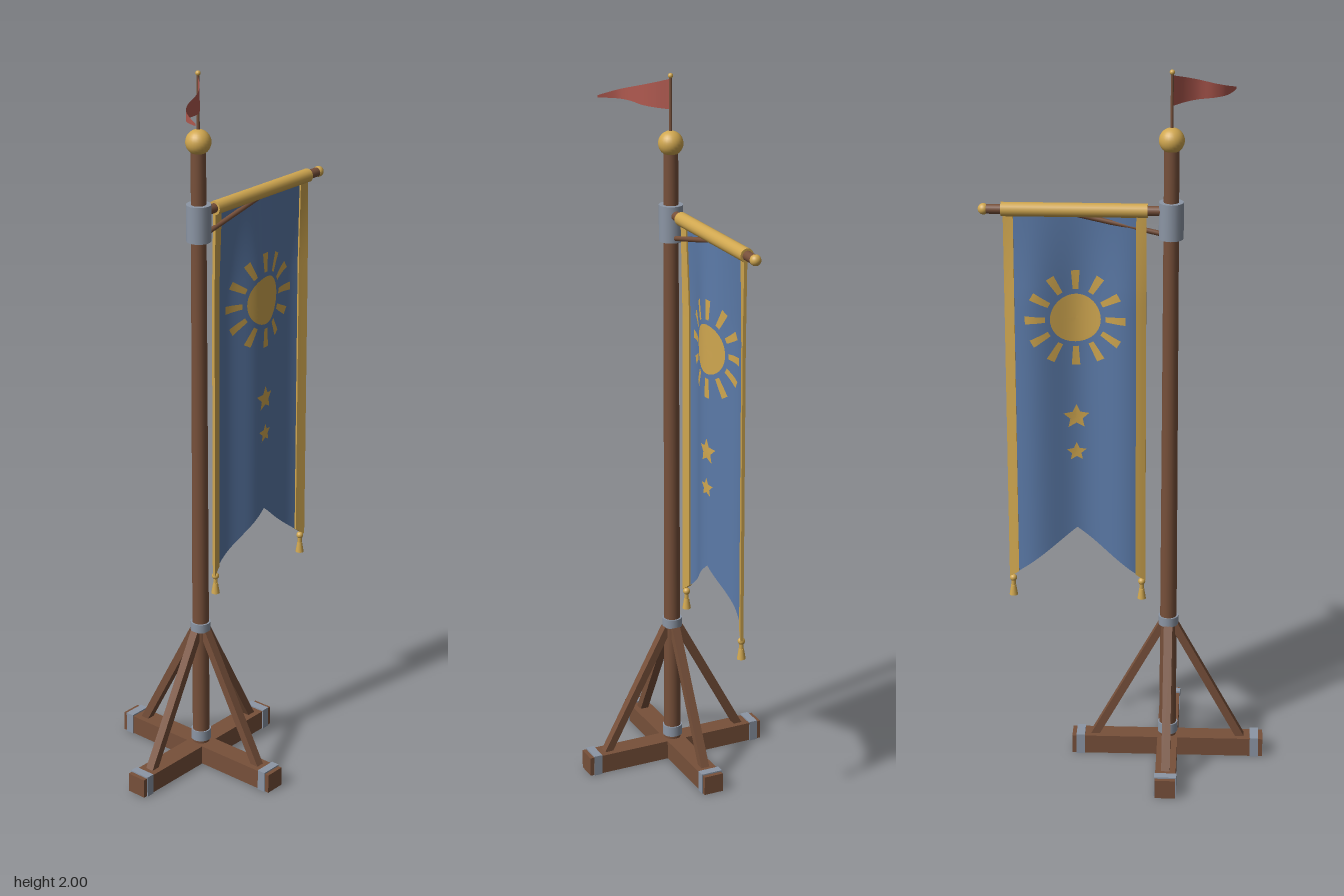
import * as THREE from 'three';

const POLE_X = -0.12;
const material = (name, color, side = THREE.FrontSide) => {
  const m = new THREE.MeshStandardMaterial({ color, side });
  m.name = name;
  return m;
};

export function createModel() {
  const wood = material('wood', 0x77503a);
  const metal = material('metal', 0x8c96a5);
  const gold = material('gold', 0xd0a750, THREE.DoubleSide);
  const blue = material('blue cloth', 0x5b7aa8, THREE.DoubleSide);
  const red = material('red cloth', 0xb0594f, THREE.DoubleSide);

  const model = new THREE.Group();
  model.name = 'bannerStand';
  const add = (name, geometry, mat, x = 0, y = 0, z = 0, parent = model) => {
    const mesh = new THREE.Mesh(geometry, mat);
    mesh.name = name;
    mesh.position.set(x, y, z);
    parent.add(mesh);
    return mesh;
  };
  const cyl = (rTop, rBottom, h, n = 20) => new THREE.CylinderGeometry(rTop, rBottom, h, n);
  const ball = (r) => new THREE.SphereGeometry(r, 24, 16);
  // Place a y-aligned mesh between two points
  const span = (mesh, a, b) => {
    mesh.position.copy(a).add(b).multiplyScalar(0.5);
    mesh.quaternion.setFromUnitVectors(new THREE.Vector3(0, 1, 0), b.clone().sub(a).normalize());
    return mesh;
  };

  // Crossed feet: four arms, each with an end strap and a diagonal brace
  for (let i = 0; i < 4; i++) {
    const arm = new THREE.Group();
    arm.name = 'footArm';
    arm.position.x = POLE_X;
    arm.rotation.y = i * Math.PI / 2;
    model.add(arm);
    add('footBeam', new THREE.BoxGeometry(0.272, 0.055, 0.057), wood, 0.136, 0.0285, 0, arm);
    add('footStrap', new THREE.BoxGeometry(0.024, 0.06, 0.062), metal, 0.248, 0.03, 0, arm);
    const a = new THREE.Vector3(0.212, 0.045, 0);
    const b = new THREE.Vector3(0.018, 0.405, 0);
    span(add('brace', new THREE.BoxGeometry(0.022, a.distanceTo(b), 0.024), wood, 0, 0, 0, arm), a, b);
  }

  // Pole with collars, finial ball and flag rod
  add('pole', cyl(0.02, 0.024, 1.75), wood, POLE_X, 0.915);
  add('lowerCollar', cyl(0.028, 0.028, 0.03), metal, POLE_X, 0.08);
  add('braceCollar', cyl(0.028, 0.028, 0.026), metal, POLE_X, 0.421);
  add('armBracket', cyl(0.033, 0.033, 0.1), metal, POLE_X, 1.595);
  add('finialBall', ball(0.034), gold, POLE_X, 1.812);
  add('flagRod', cyl(0.004, 0.004, 0.16, 10), wood, POLE_X, 1.915);
  add('rodTip', ball(0.007), gold, POLE_X, 1.993);

  // Horizontal arm, sleeve and support strut
  add('crossArm', cyl(0.013, 0.013, 0.47), wood, 0.135, 1.62).rotation.z = Math.PI / 2;
  add('bannerSleeve', cyl(0.019, 0.019, 0.388), gold, 0.136, 1.62).rotation.z = Math.PI / 2;
  add('armEndBall', ball(0.015), gold, 0.376, 1.62);
  const s0 = new THREE.Vector3(-0.1, 1.556, 0);
  const s1 = new THREE.Vector3(0.13, 1.608, 0);
  span(add('armStrut', cyl(0.007, 0.007, s0.distanceTo(s1), 10), wood), s0, s1);

  // Folds of the hanging banner, and its swallow-tailed lower edge
  const CX = 0.135, TOP = 1.615, HALF = 0.19;
  const fold = (x, y) =>
    0.015 * Math.min(1, 0.3 + (TOP - y) * 3) * Math.cos((x - 0.12) * Math.PI * 2 / 0.26);
  const bottom = (x) => 0.695 - 0.15 * Math.abs(x - CX) / HALF;
  const drape = (g) => {
    const p = g.attributes.position;
    for (let i = 0; i < p.count; i++) p.setZ(i, p.getZ(i) + fold(p.getX(i), p.getY(i)));
    g.computeVertexNormals();
    return g;
  };
  // Hang a unit-height strip from the sleeve down to the lower edge
  const hang = (g, x) => {
    const p = g.attributes.position;
    for (let i = 0; i < p.count; i++) {
      const px = p.getX(i) + x;
      p.setXY(i, px, THREE.MathUtils.lerp(bottom(px), TOP, p.getY(i) + 0.5));
    }
    return drape(g);
  };
  add('bannerCloth', hang(new THREE.PlaneGeometry(0.37, 1, 40, 30), CX), blue);
  for (const side of [-1, 1]) {
    add('bannerTrim', hang(new THREE.BoxGeometry(0.027, 1, 0.009, 3, 30, 1), CX + side * 0.1765), gold);
    const x = CX + side * 0.18;
    const z = fold(x, 0.55);
    add('tasselKnot', ball(0.01), gold, x, 0.542, z);
    add('tasselNeck', cyl(0.006, 0.006, 0.03, 12), gold, x, 0.525, z);
    add('tasselSkirt', cyl(0.007, 0.012, 0.03, 12), gold, x, 0.505, z);
  }

  // Star emblem: a disc whose alternate spokes are pulled inwards
  const star = (r) => {
    const g = new THREE.RingGeometry(0, r, 10, 4, Math.PI / 2);
    const p = g.attributes.position;
    for (let i = 0; i < p.count; i++) {
      const k = (i % 11) % 2 ? 0.48 : 1;
      p.setXY(i, p.getX(i) * k, p.getY(i) * k);
    }
    return g;
  };
  // Sun and stars on both faces of the cloth
  for (const z of [-0.0035, 0.0035]) {
    const face = z > 0 ? 'front' : 'back';
    const emblem = (name, g, y) => add(face + name, drape(g.translate(CX, y, z)), gold);
    emblem('SunDisc', new THREE.RingGeometry(0, 0.068, 40, 8), 1.315);
    for (let i = 0; i < 12; i++) {
      const ray = new THREE.PlaneGeometry(0.054, 0.019, 8, 3);
      const p = ray.attributes.position;
      for (let j = 0; j < p.count; j++) p.setY(j, p.getY(j) * (1 + p.getX(j) * 8));
      emblem('SunRay', ray.translate(0.108, 0, 0).rotateZ(i * Math.PI / 6), 1.315);
    }
    emblem('LargeStar', star(0.037), 1.028);
    emblem('SmallStar', star(0.028), 0.924);
  }

  // Pennant streaming along a curved path, tapering to its tip
  const path = new THREE.CatmullRomCurve3([
    [-0.12, 0], [-0.15, 0.032], [-0.185, 0.054], [-0.23, 0.065],
    [-0.26, 0.083], [-0.275, 0.108], [-0.286, 0.138],
  ].map(([x, z]) => new THREE.Vector3(x, 0, z)));
  const flag = new THREE.PlaneGeometry(1, 1, 28, 4);
  const fp = flag.attributes.position;
  for (let i = 0; i < fp.count; i++) {
    const t = fp.getX(i) + 0.5;
    const c = path.getPointAt(t);
    const low = 1.903 + 0.012 * t;
    const high = 1.985 - 0.064 * t;
    fp.setXYZ(i, c.x, THREE.MathUtils.lerp(low, high, fp.getY(i) + 0.5), c.z);
  }
  flag.computeVertexNormals();
  add('pennant', flag, red);

  return model;
}
